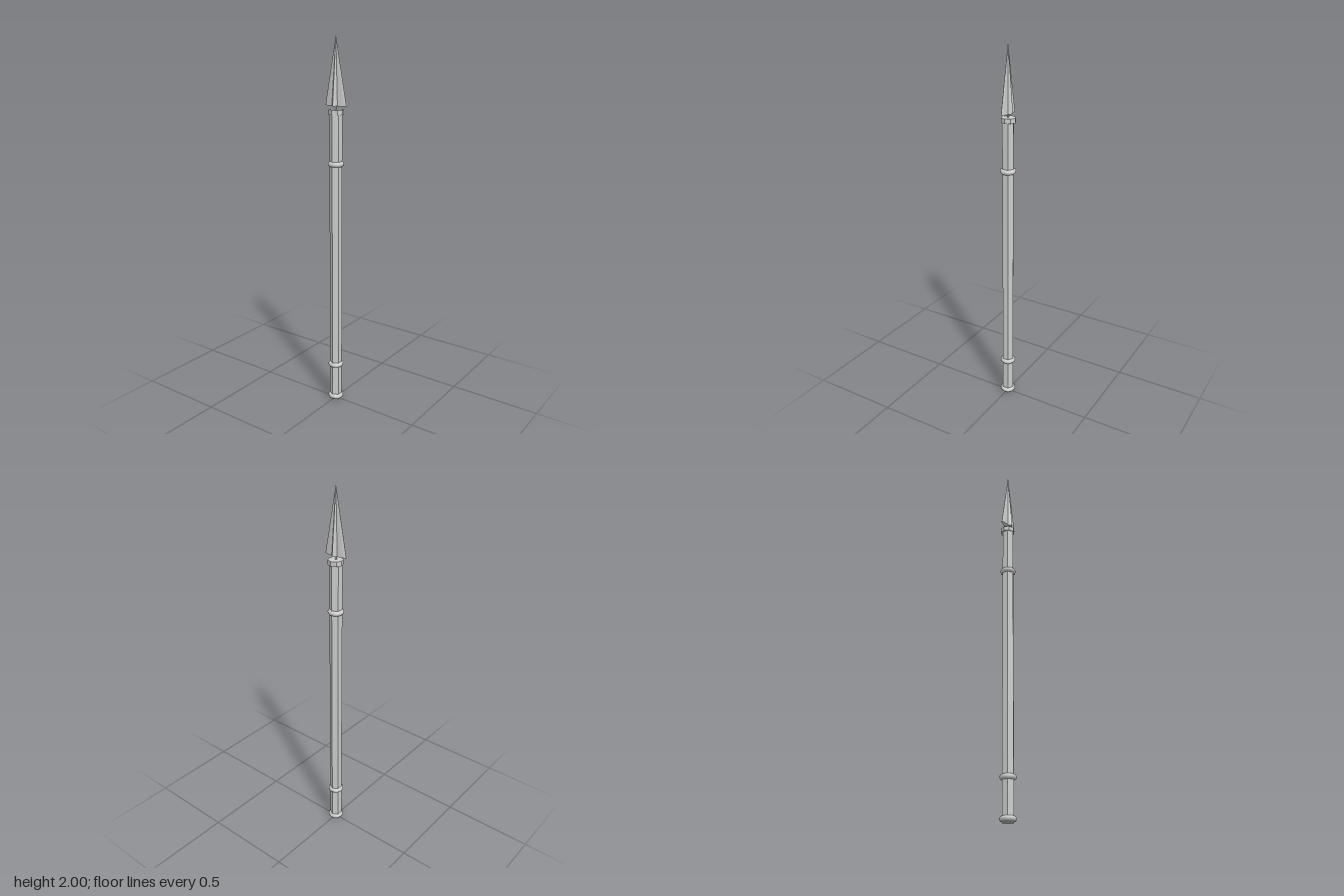
import * as THREE from 'three';

export function createModel() {
  const group = new THREE.Group();
  const smooth = new THREE.MeshStandardMaterial({ color: 0xcccccc });
  const flat = new THREE.MeshStandardMaterial({ color: 0xcccccc, flatShading: true });

  function add(name, geometry, material, x, y) {
    const mesh = new THREE.Mesh(geometry, material);
    mesh.name = name;
    mesh.position.set(x, y, 0);
    group.add(mesh);
    return mesh;
  }

  // Six-sided shaft with corners on the x axis
  const shaft = new THREE.CylinderGeometry(0.033, 0.033, 1.62, 6).rotateY(Math.PI / 2);
  add('shaft', shaft, flat, 0, 0.81);

  // Rounded bands around the shaft
  const band = new THREE.TorusGeometry(0.028, 0.014, 12, 32).rotateX(Math.PI / 2);
  const bands = { buttBand: 0.018, lowerBand: 0.215, upperBand: 1.357 };
  for (const [name, y] of Object.entries(bands)) add(name, band, smooth, 0, y);

  // Eight-sided collar, set slightly to one side, and the thin tang above it
  add('collar', new THREE.CylinderGeometry(0.039, 0.039, 0.025, 8), flat, 0.003, 1.623);
  add('tang', new THREE.CylinderGeometry(0.005, 0.005, 0.05, 8), smooth, 0, 1.645);

  // Spearhead: a flattened cone crossed by a four-sided spine
  const headHeight = 0.345;
  const headY = 2 - headHeight / 2;
  const blade = new THREE.ConeGeometry(1, headHeight, 32).scale(0.012, 1, 0.065);
  blade.computeVertexNormals();
  add('blade', blade, smooth, 0, headY);
  add('bladeSpine', new THREE.ConeGeometry(0.029, headHeight, 4), flat, 0, headY);

  return group;
}
